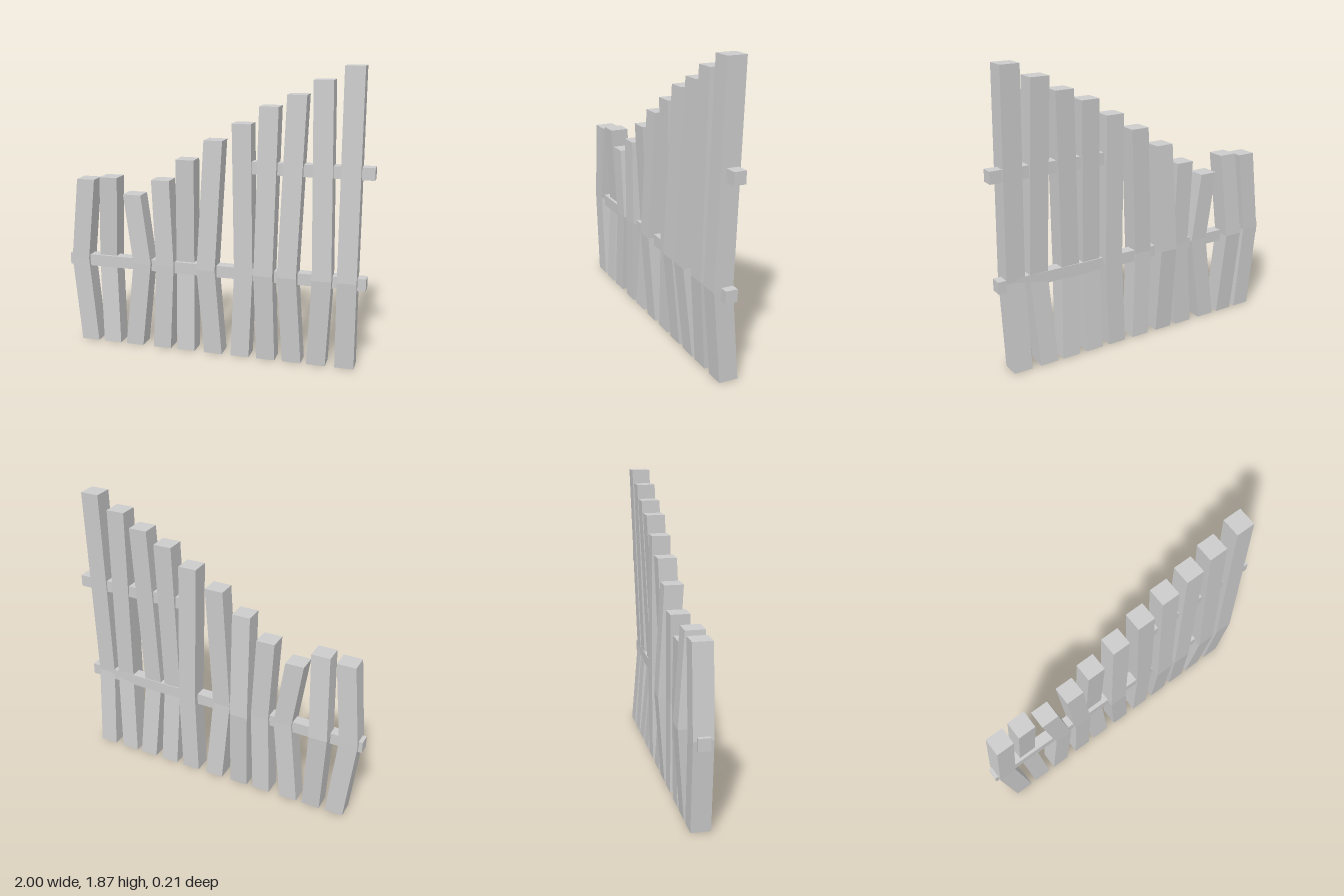
import * as THREE from 'three';

const material = new THREE.MeshStandardMaterial({ color: 0xcccccc, flatShading: true });
const POST = 0.12;  // post thickness
const BEND = 0.57;  // height at which every post is bent

// Square post with its middle ring of corners pushed sideways
function makePost(x, height, dx, dz) {
  const geometry = new THREE.BoxGeometry(POST, height, POST, 1, 2, 1);
  geometry.translate(0, height / 2, 0);
  const p = geometry.attributes.position;
  for (let i = 0; i < p.count; i++) {
    if (Math.abs(p.getY(i) - height / 2) < 0.01) {
      p.setXYZ(i, p.getX(i) + dx, BEND, p.getZ(i) + dz);
    }
  }
  geometry.computeVertexNormals();
  const post = new THREE.Mesh(geometry, material);
  post.position.x = x;
  return post;
}

// Square rail between two points on the same level
function makeRail(name, x0, z0, x1, z1, y) {
  const length = Math.hypot(x1 - x0, z1 - z0);
  const rail = new THREE.Mesh(new THREE.BoxGeometry(length, 0.076, 0.075), material);
  rail.name = name;
  rail.position.set((x0 + x1) / 2, y, (z0 + z1) / 2);
  rail.rotation.y = -Math.atan2(z1 - z0, x1 - x0);
  return rail;
}

export function createModel() {
  const fence = new THREE.Group();
  fence.name = 'fence';

  // Posts: x, height, sideways bend, forward bend
  const posts = [
    [-0.86, 1.11, -0.057, -0.005],
    [-0.70, 1.13, -0.033, -0.045],
    [-0.54, 1.025, 0.065, 0.008],
    [-0.345, 1.13, 0.028, 0.008],
    [-0.18, 1.27, -0.012, -0.042],
    [0.005, 1.40, -0.04, 0.028],
    [0.185, 1.51, 0.02, 0],
    [0.355, 1.62, -0.012, 0.048],
    [0.525, 1.695, -0.033, 0.048],
    [0.68, 1.785, 0.03, 0.048],
    [0.86, 1.87, 0.003, 0.048],
  ];
  posts.forEach((values, i) => {
    const post = makePost(...values);
    post.name = `post${i + 1}`;
    fence.add(post);
  });

  // Long lower rail runs slightly askew; short upper rail joins the tall posts
  fence.add(makeRail('lowerRail', -1, -0.005, 0.975, 0.027, 0.557));
  fence.add(makeRail('upperRail', 0.22, 0.01, 1, 0.01, 1.24));

  return fence;
}
